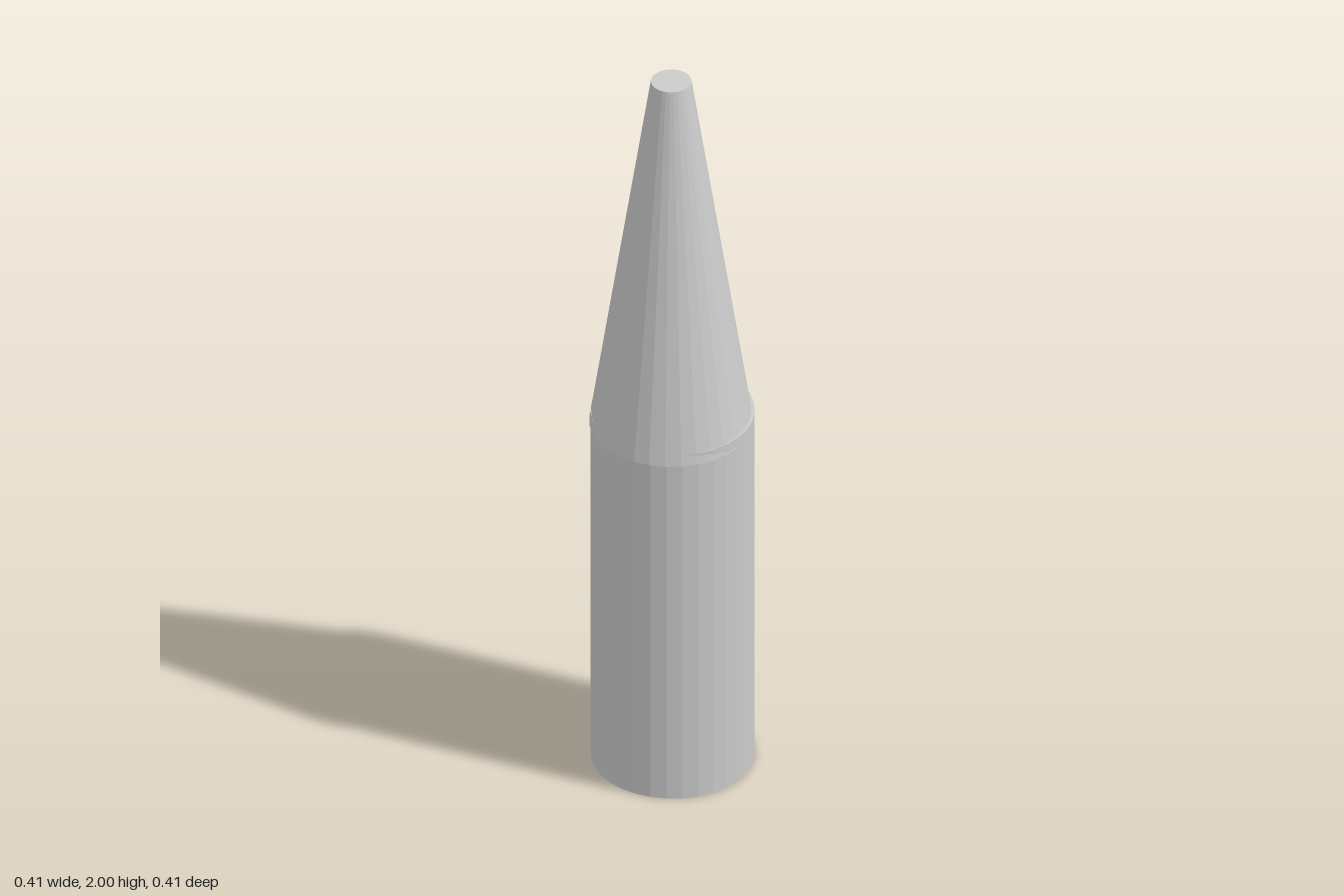
import * as THREE from 'three';

const SIDES = 32;

// Flat-shaded round section standing between two heights
function section(name, topRadius, bottomRadius, y0, y1, x, z) {
  const geometry = new THREE.CylinderGeometry(topRadius, bottomRadius, y1 - y0, SIDES);
  const material = new THREE.MeshStandardMaterial({ color: 0xcccccc, flatShading: true });
  const mesh = new THREE.Mesh(geometry, material);
  mesh.name = name;
  mesh.position.set(x, (y0 + y1) / 2, z);
  return mesh;
}

export function createModel() {
  const model = new THREE.Group();
  model.name = 'taperedRod';

  // Straight lower body
  model.add(section('body', 0.202, 0.202, 0, 1.02, 0.002, -0.002));

  // Tapered tip, seated slightly off-centre in the body
  model.add(section('taperedTip', 0.05, 0.2015, 0.99, 2, -0.003, 0.002));

  return model;
}
